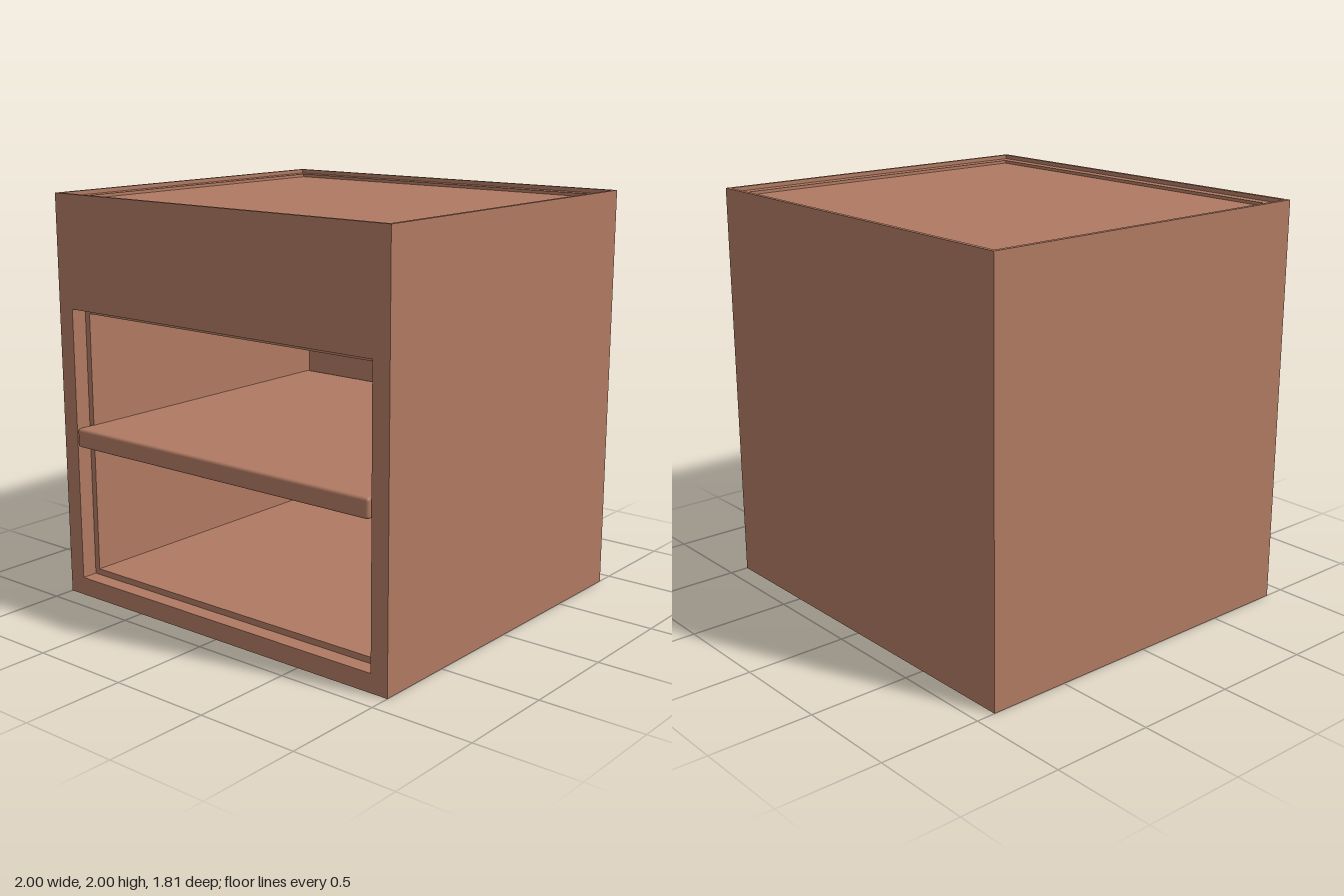
import * as THREE from 'three';
import { RoundedBoxGeometry } from 'three/addons/geometries/RoundedBoxGeometry.js';

const material = new THREE.MeshStandardMaterial({ color: 0xb07a62 });

// Outer z limits of the carcass
const BACK = -0.905, FRONT = 0.895;
const DEPTH = FRONT - BACK, MID = (FRONT + BACK) / 2;

function add(group, name, geometry, x = 0, y = 0, z = 0) {
  const mesh = new THREE.Mesh(geometry, material);
  mesh.name = name;
  mesh.position.set(x, y, z);
  group.add(mesh);
  return mesh;
}

function trace(path, x0, y0, x1, y1) {
  path.moveTo(x0, y0);
  path.lineTo(x1, y0);
  path.lineTo(x1, y1);
  path.lineTo(x0, y1);
  path.closePath();
  return path;
}

// Rectangular frame: outer and hole are [x0, y0, x1, y1]
function frame(outer, hole, depth) {
  const shape = trace(new THREE.Shape(), ...outer);
  shape.holes.push(trace(new THREE.Path(), ...hole));
  return new THREE.ExtrudeGeometry(shape, { depth, bevelEnabled: false });
}

export function createModel() {
  const group = new THREE.Group();
  group.name = 'cabinet';

  const panelTop = 1.965, ledgeTop = 1.98, rimTop = 2;
  const stepZ = 0.815, innerBack = -0.82;
  const body = [-1, 0, 1, panelTop];

  // Carcass: front opening steps in to a slightly smaller compartment
  add(group, 'frontFrame', frame(body, [-0.91, 0.09, 0.91, 1.45], FRONT - stepZ), 0, 0, stepZ);
  add(group, 'compartment', frame(body, [-0.88, 0.12, 0.88, 1.42], stepZ - innerBack), 0, 0, innerBack);
  add(group, 'backPanel', new THREE.BoxGeometry(2, panelTop, innerBack - BACK),
    0, panelTop / 2, (innerBack + BACK) / 2);

  // Top: two stepped frames around the sunken top panel
  const half = DEPTH / 2;
  const topFrames = [
    ['topLedge', panelTop, ledgeTop, 0.07],
    ['topRim', ledgeTop, rimTop, 0.02],
  ];
  for (const [name, y0, y1, inset] of topFrames) {
    const w = 1 - inset, d = half - inset;
    const geometry = frame([-1, -half, 1, half], [-w, -d, w, d], y1 - y0).rotateX(-Math.PI / 2);
    add(group, name, geometry, 0, y0, MID);
  }

  // Shelf with softened edges, standing just proud of the front
  const shelfFront = 0.905, shelfDepth = shelfFront - innerBack;
  add(group, 'shelf', new RoundedBoxGeometry(1.8, 0.095, shelfDepth, 3, 0.015),
    0, 0.8175, shelfFront - shelfDepth / 2);

  return group;
}
